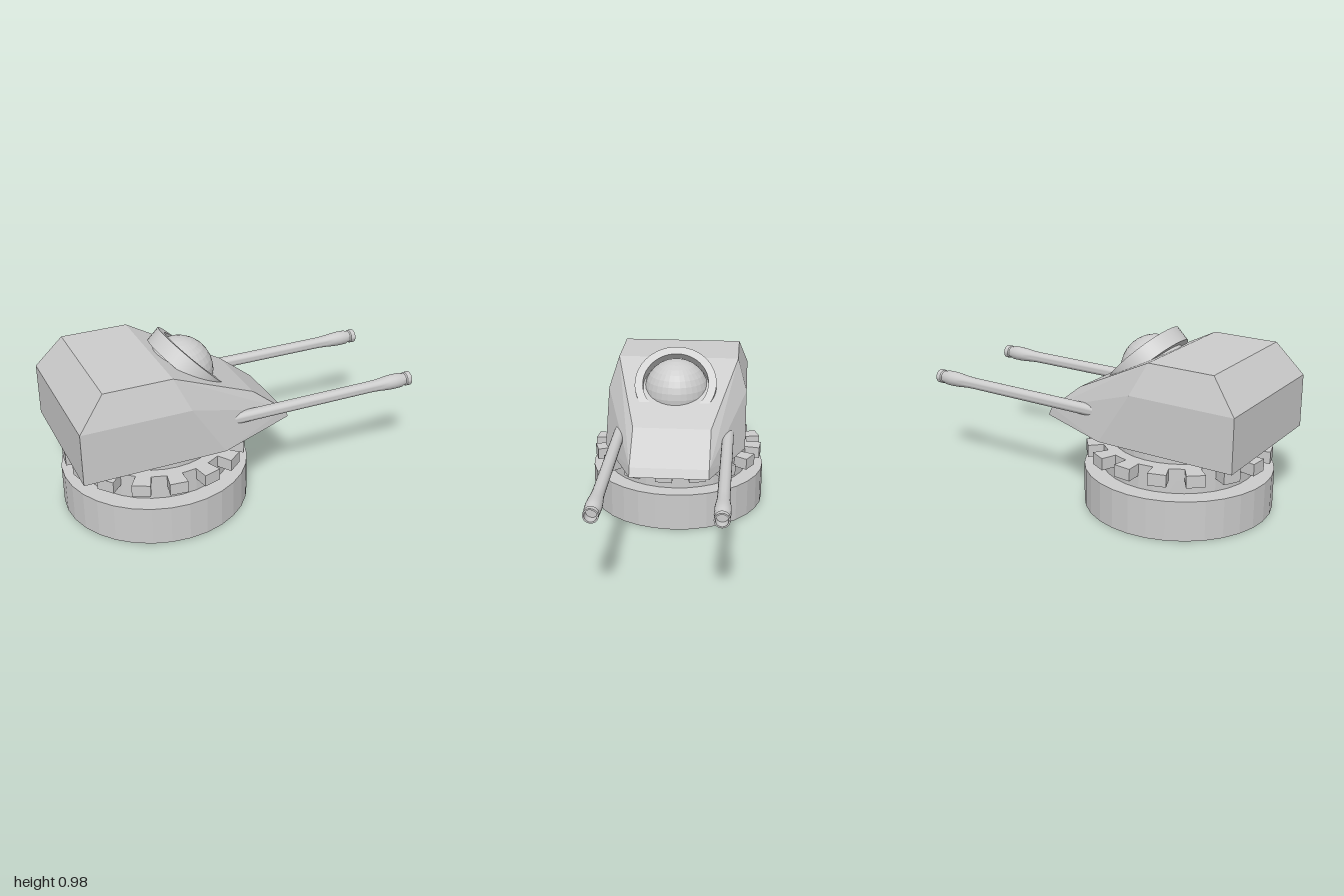
import * as THREE from 'three';
import { ConvexGeometry } from 'three/addons/geometries/ConvexGeometry.js';
import { toCreasedNormals } from 'three/addons/utils/BufferGeometryUtils.js';

const BASE_X = -0.47;
const flat = new THREE.MeshStandardMaterial({ color: 0xcccccc, flatShading: true });
const smooth = new THREE.MeshStandardMaterial({ color: 0xcccccc });

function add(parent, name, geometry, material = flat) {
  const mesh = new THREE.Mesh(geometry, material);
  mesh.name = name;
  parent.add(mesh);
  return mesh;
}

// Upright drum between two heights on the turret axis
function drum(parent, name, radius, y0, y1) {
  const mesh = add(parent, name, new THREE.CylinderGeometry(radius, radius, y1 - y0, 32));
  mesh.position.set(BASE_X, (y0 + y1) / 2, 0);
}

// Toothed ring: flat tooth tips alternating with valleys
function gearGeometry(teeth, inner, outer, height) {
  const shape = new THREE.Shape();
  const step = Math.PI / teeth;
  for (let i = 0; i < teeth * 2; i++) {
    const r = i % 2 === 0 ? outer : inner;
    for (const a of [i * step, (i + 1) * step]) {
      const x = r * Math.cos(a), y = r * Math.sin(a);
      if (i === 0 && a === 0) shape.moveTo(x, y);
      else shape.lineTo(x, y);
    }
  }
  return new THREE.ExtrudeGeometry(shape, { depth: height, bevelEnabled: false }).rotateX(Math.PI / 2);
}

// Armoured hull: half outline [x, y, z], mirrored across z
function hullGeometry() {
  const half = [
    [-1, 0.42, 0.415], [-1, 0.715, 0.415], [-0.855, 0.89, 0.36], [-0.48, 0.89, 0.36],
    [-0.4, 0.715, 0.415], [-0.21, 0.42, 0.415],
    [0.04, 0.63, 0.222], [0.24, 0.47, 0.222], [0.262, 0.42, 0.222],
  ];
  const points = half.flatMap(([x, y, z]) => [new THREE.Vector3(x, y, z), new THREE.Vector3(x, y, -z)]);
  return new ConvexGeometry(points);
}

// Gun barrel turned along x, with a flared muzzle and a short bore
function barrelGeometry() {
  const profile = [
    [0, -0.25], [0.033, -0.25], [0.033, 0.74], [0.035, 0.79], [0.041, 0.85], [0.043, 0.89],
    [0.042, 0.94], [0.035, 0.955], [0.035, 0.965], [0.04, 0.972], [0.04, 1],
    [0.032, 1], [0.032, 0.95], [0, 0.95],
  ].map(([r, x]) => new THREE.Vector2(r, x));
  return toCreasedNormals(new THREE.LatheGeometry(profile, 24).rotateZ(-Math.PI / 2), 0.6);
}

export function createModel() {
  const model = new THREE.Group();
  model.name = 'gunTurret';

  // Stepped base
  drum(model, 'basePlinth', 0.525, 0, 0.222);
  drum(model, 'bearingDrum', 0.424, 0.222, 0.358);
  drum(model, 'neck', 0.362, 0.358, 0.42);
  const gear = add(model, 'gearRing', gearGeometry(16, 0.425, 0.512, 0.067));
  gear.position.set(BASE_X, 0.359, 0);

  add(model, 'armouredHull', hullGeometry());

  // Sensor dome
  const dome = add(model, 'sensorDome', new THREE.SphereGeometry(0.19, 32, 16));
  dome.position.set(-0.307, 0.738, 0);

  // Tilted collar around the dome
  const section = [[0.192, -0.09], [0.239, -0.09], [0.239, 0], [0.192, 0], [0.192, -0.09]];
  const collar = add(model, 'domeCollar',
    toCreasedNormals(new THREE.LatheGeometry(section.map(([r, y]) => new THREE.Vector2(r, y)), 48), 0.6), smooth);
  collar.position.set(-0.23, 0.81, 0);
  collar.rotation.z = -THREE.MathUtils.degToRad(45);

  // Twin guns
  for (const side of [-1, 1]) {
    const barrel = add(model, side > 0 ? 'frontBarrel' : 'rearBarrel', barrelGeometry(), smooth);
    barrel.position.set(0, 0.546, side * 0.315);
  }
  return model;
}
